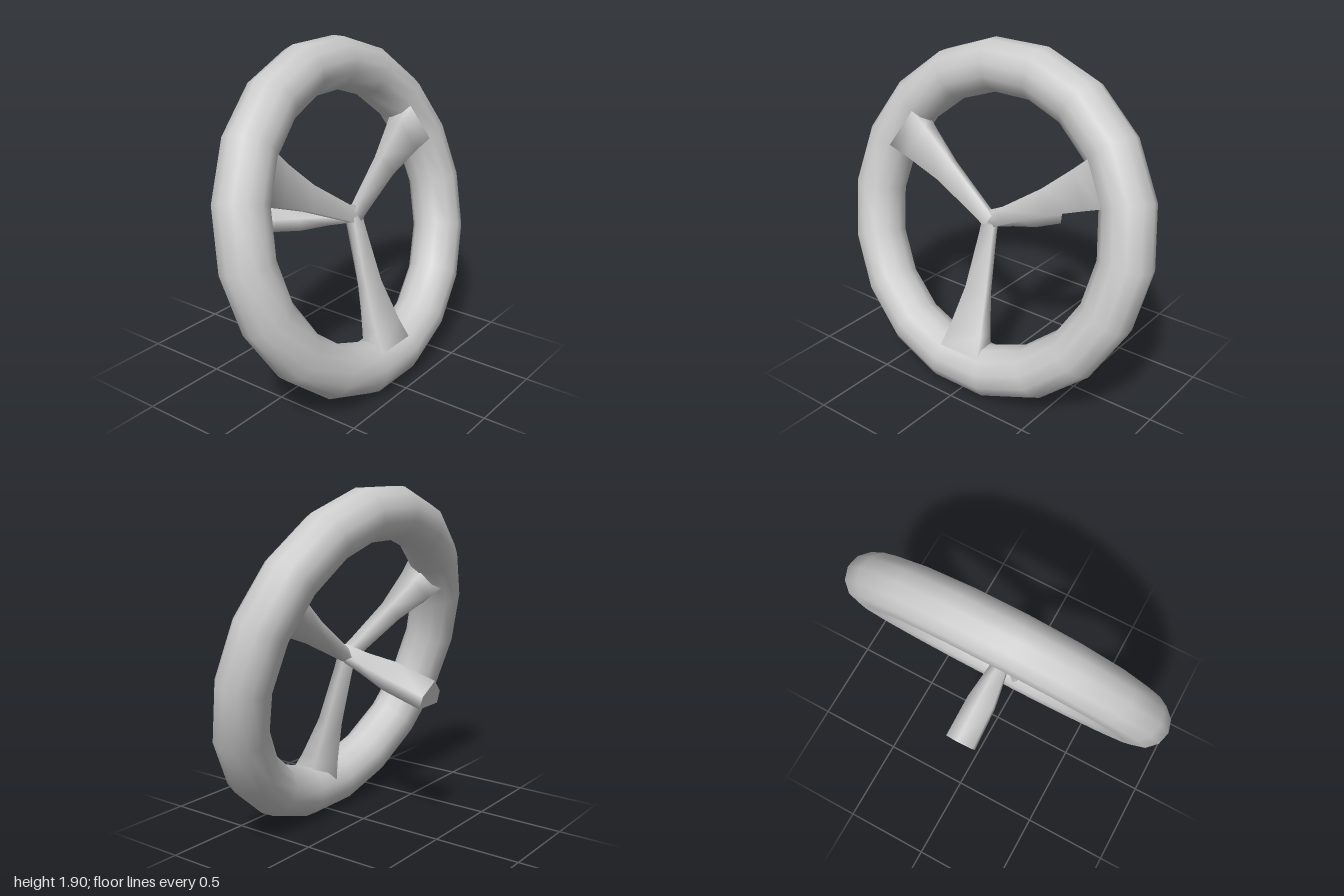
import * as THREE from 'three';

const material = new THREE.MeshStandardMaterial({ color: 0xcccccc });

// Arm along +y with a house-shaped section: flat face at +z, ridge at -z.
// Each section: [distance, half width, face z, shoulder z, ridge z]
function armGeometry(sections) {
  const pos = [], index = [], n = 5;
  // End sections are repeated so the caps keep sharp edges
  const rings = [sections[0], ...sections, sections[sections.length - 1]];
  for (const [y, w, face, shoulder, ridge] of rings) {
    pos.push(w, y, face, w * 0.96, y, shoulder, 0, y, ridge, -w * 0.96, y, shoulder, -w, y, face);
  }
  for (let i = 1; i < rings.length - 2; i++) {
    for (let j = 0; j < n; j++) {
      const a = i * n + j, b = i * n + (j + 1) % n;
      index.push(a, b, b + n, a, b + n, a + n);
    }
  }
  const last = (rings.length - 1) * n;
  for (let j = 1; j < n - 1; j++) {
    index.push(0, j + 1, j, last, last + j, last + j + 1);
  }
  const geo = new THREE.BufferGeometry();
  geo.setAttribute('position', new THREE.Float32BufferAttribute(pos, 3));
  geo.setIndex(index);
  geo.computeVertexNormals();
  return geo;
}

export function createModel() {
  const model = new THREE.Group();
  model.name = 'steeringWheel';

  // Wheel frame: local +z is the driver's side, turned to +x and tilted back
  const wheel = new THREE.Group();
  wheel.name = 'tiltedWheel';
  wheel.rotation.set(0, Math.PI / 2, THREE.MathUtils.degToRad(15.2), 'ZYX');
  wheel.position.set(0.11, 0.955, 0);
  model.add(wheel);

  const add = (name, geometry) => {
    const mesh = new THREE.Mesh(geometry, material);
    mesh.name = name;
    wheel.add(mesh);
    return mesh;
  };

  // Rim
  add('rim', new THREE.TorusGeometry(0.852, 0.148, 12, 18));

  // Three spokes flaring towards the rim
  const spokeGeometry = armGeometry([
    [0, 0.04, 0.045, 0, -0.05],
    [0.08, 0.045, 0.045, 0, -0.05],
    [0.4, 0.072, 0.055, 0, -0.06],
    [0.64, 0.11, 0.09, -0.01, -0.09],
    [0.76, 0.13, 0.12, -0.02, -0.115],
  ]);
  ['lowerSpoke', 'upperLeftSpoke', 'upperRightSpoke'].forEach((name, i) => {
    add(name, spokeGeometry).rotation.z = Math.PI + i * Math.PI * 2 / 3;
  });

  // Steering column behind the hub, ridge on top
  const column = add('column', armGeometry([
    [-0.04, 0.03, 0.025, -0.01, -0.065],
    [0.13, 0.055, 0.032, -0.015, -0.075],
    [0.32, 0.082, 0.05, -0.02, -0.1],
    [0.576, 0.088, 0.052, -0.02, -0.097],
  ]));
  column.rotation.set(-Math.PI / 2, Math.PI, 0);

  return model;
}
